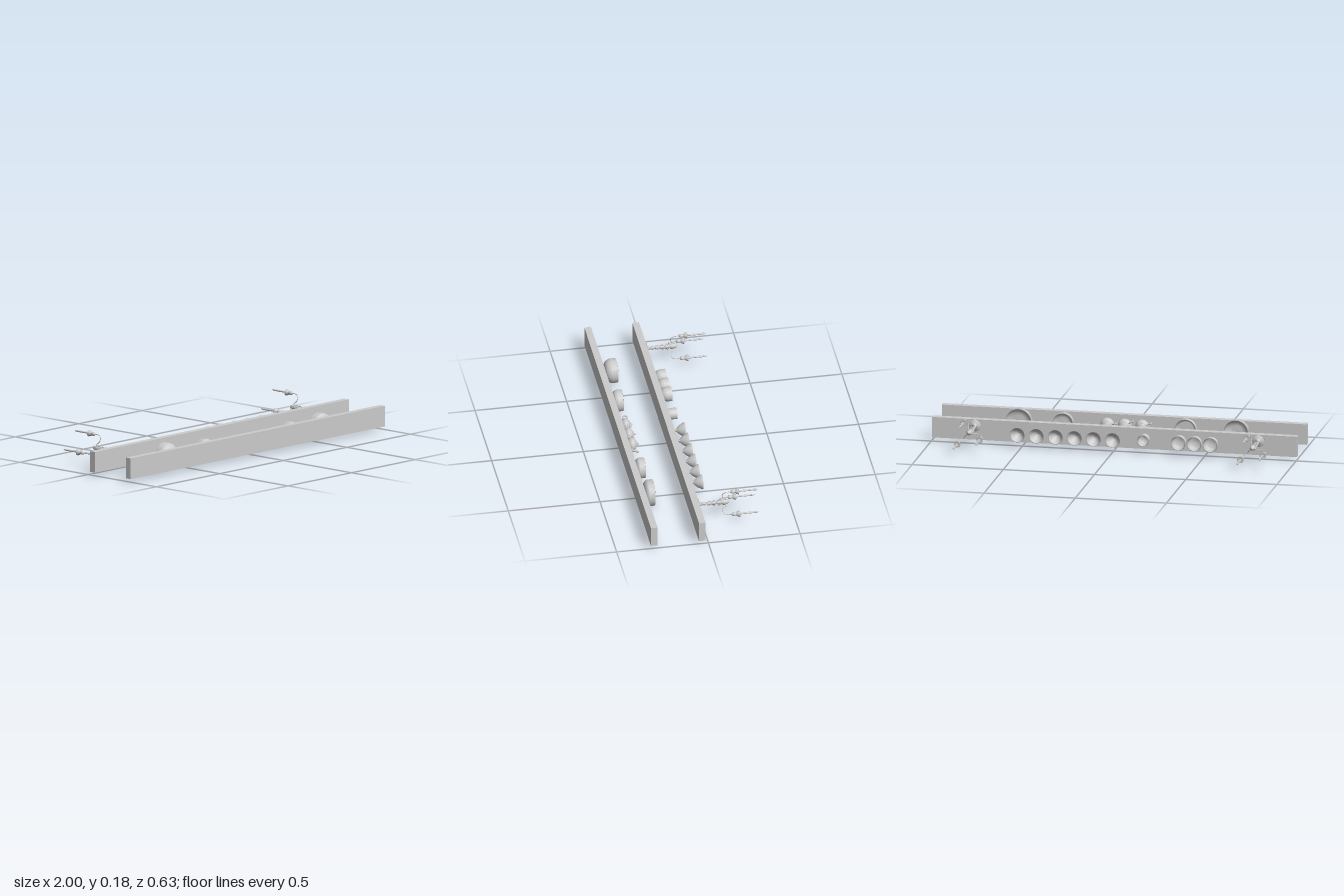
import * as THREE from 'three';

export function createModel() {
  const grey = new THREE.MeshStandardMaterial({ color: 0xcccccc, side: THREE.DoubleSide });
  grey.name = 'plain grey';

  const model = new THREE.Group();
  model.name = 'shelvesWithTableware';
  // Parts are built with +y up from the shelf board, then laid so up faces -z
  const upright = new THREE.Group();
  upright.name = 'upright';
  upright.rotation.x = -Math.PI / 2;
  model.add(upright);

  const add = (parent, name, geo, x = 0, y = 0, z = 0) => {
    const m = new THREE.Mesh(geo, grey);
    m.name = name;
    m.position.set(x, y, z);
    parent.add(m);
    return m;
  };
  const group = (name, x, y, z) => {
    const g = new THREE.Group();
    g.name = name;
    g.position.set(x, y, z);
    upright.add(g);
    return g;
  };
  const lathe = (pts, seg = 32) =>
    new THREE.LatheGeometry(pts.map(([r, h]) => new THREE.Vector2(r, h)), seg);
  const tube = (pts, r, n = 20, sides = 8) => new THREE.TubeGeometry(
    new THREE.CatmullRomCurve3(pts.map(p => new THREE.Vector3(...p))), n, r, sides);

  // Two long boards
  const FRONT = -0.277, BACK = -0.015;
  add(upright, 'frontShelf', new THREE.BoxGeometry(2, 0.036, 0.113), 0, FRONT - 0.018, 0.0735);
  add(upright, 'backShelf', new THREE.BoxGeometry(2, 0.036, 0.113), 0, BACK - 0.018, 0.0735);

  // Footed dish with a thin curved wall
  const dish = (r, h, foot) => {
    const t = 0.003, wall = [0, 0.2, 0.4, 0.6, 0.8, 1];
    const at = (k, d) => [
      foot + (r - foot) * Math.sin(k * Math.PI / 2) - d,
      0.1 * h + 0.9 * h * (1 - Math.cos(k * Math.PI / 2)) + d * 0.6];
    return lathe([[0, 0], [foot, 0], ...wall.map(k => at(k, 0)),
      ...wall.slice().reverse().map(k => at(k, t)), [0, 0.1 * h + t]], 40);
  };
  const stack = (name, x, z, r, h, foot, count, step) => {
    const g = group(name, x, FRONT, z);
    const geo = dish(r, h, foot);
    for (let i = 0; i < count; i++) add(g, 'dish', geo, 0, i * step, 0);
  };
  stack('servingBowls', -0.627, 0.084, 0.067, 0.048, 0.03, 3, 0.011);
  stack('smallPlates', -0.345, 0.076, 0.059, 0.03, 0.043, 5, 0.005);
  stack('saucers', 0.327, 0.076, 0.056, 0.024, 0.03, 6, 0.005);
  stack('dinnerPlates', 0.569, 0.072, 0.072, 0.03, 0.035, 5, 0.006);

  // Three teapots, spouts toward +x
  const potBody = lathe([[0, 0], [0.022, 0], [0.024, 0.004], [0.035, 0.013], [0.039, 0.024],
    [0.036, 0.035], [0.027, 0.044], [0.02, 0.047], [0, 0.047]]);
  const potLid = lathe([[0.022, 0.046], [0.018, 0.051], [0.008, 0.054], [0.004, 0.056],
    [0.006, 0.06], [0.004, 0.064], [0, 0.065]], 20);
  const potHandle = tube([[-0.03, 0.039, 0], [-0.05, 0.043, 0], [-0.058, 0.033, 0],
    [-0.052, 0.02, 0], [-0.036, 0.015, 0]], 0.0035);
  const potSpout = tube([[0.032, 0.017, 0], [0.046, 0.023, 0], [0.052, 0.038, 0],
    [0.063, 0.05, 0]], 0.006);
  [-0.104, -0.008, 0.088].forEach((x, i) => {
    const g = group('teapot', x, FRONT, 0.075);
    g.rotation.y = [0.45, 0.6, 0.25][i];
    add(g, 'teapotBody', potBody);
    add(g, 'teapotLid', potLid);
    add(g, 'teapotHandle', potHandle);
    add(g, 'teapotSpout', potSpout);
  });

  // Deep bowls and a beaker on the back board
  const cup = lathe([[0, 0], [0.02, 0], [0.02, 0.004], [0.028, 0.009], [0.036, 0.02], [0.039, 0.034],
    [0.04, 0.061], [0.037, 0.061], [0.036, 0.034], [0.033, 0.022], [0.025, 0.012], [0, 0.01]]);
  [-0.538, -0.45, -0.363].forEach(x => add(upright, 'deepBowl', cup, x, BACK, 0.074));
  add(upright, 'beaker', lathe([[0, 0], [0.024, 0], [0.029, 0.006], [0.03, 0.025], [0.032, 0.054],
    [0.029, 0.054], [0.027, 0.025], [0.024, 0.008], [0, 0.006]]), -0.168, BACK, 0.075);

  // Row of stemmed goblets
  const goblet = lathe([[0, 0], [0.019, 0], [0.018, 0.003], [0.007, 0.008], [0.004, 0.014],
    [0.006, 0.021], [0.015, 0.028], [0.027, 0.042], [0.036, 0.058], [0.041, 0.069], [0.038, 0.069],
    [0.032, 0.057], [0.023, 0.042], [0.012, 0.031], [0, 0.028]]);
  for (let i = 0; i < 6; i++)
    add(upright, 'goblet', goblet, -0.005 + i * 0.1044, BACK, 0.074);

  // Three-armed candelabra with twisted stems
  const stem = lathe([[0, 0], [0.034, 0], [0.033, 0.003], [0.018, 0.007], [0.01, 0.013], [0.006, 0.025],
    [0.007, 0.06], [0.009, 0.1], [0.011, 0.13], [0.016, 0.148], [0.013, 0.16], [0.008, 0.168], [0, 0.172]], 20);
  const vine = phase => {
    const pts = [];
    for (let i = 0; i <= 24; i++) {
      const k = i / 24, a = phase + k * Math.PI * 5, r = 0.007 + 0.009 * k;
      pts.push([r * Math.cos(a), 0.015 + 0.135 * k, r * Math.sin(a)]);
    }
    return tube(pts, 0.0028, 72, 6);
  };
  const vines = [vine(0), vine(Math.PI)];
  const arm = tube([[0.01, 0.155, 0], [0.022, 0.15, 0], [0.034, 0.136, 0], [0.048, 0.131, 0],
    [0.062, 0.134, 0], [0.071, 0.147, 0], [0.073, 0.176, 0]], 0.0022, 32, 8);
  const holder = lathe([[0, 0.174], [0.004, 0.175], [0.01, 0.182], [0.011, 0.19], [0.007, 0.197],
    [0.009, 0.202], [0.014, 0.206], [0.018, 0.218], [0.016, 0.22], [0, 0.216]], 20);
  const candle = new THREE.CylinderGeometry(0.0048, 0.0048, 0.088, 14);
  const flame = lathe([[0, 0.302], [0.006, 0.304], [0.006, 0.309], [0.003, 0.318], [0, 0.328]], 12);
  [-0.79, 0.763].forEach(x => {
    const g = group('candelabrum', x, BACK, 0.096);
    add(g, 'stem', stem);
    vines.forEach(v => add(g, 'twistedVine', v));
    for (let i = 0; i < 3; i++) {
      const b = new THREE.Group();
      b.name = 'candleBranch';
      b.rotation.y = -(76 + i * 120) * Math.PI / 180;
      g.add(b);
      add(b, 'arm', arm);
      add(b, 'candleHolder', holder, 0.073);
      add(b, 'candle', candle, 0.073, 0.26);
      add(b, 'candleTip', flame, 0.073);
    }
  });

  return model;
}
